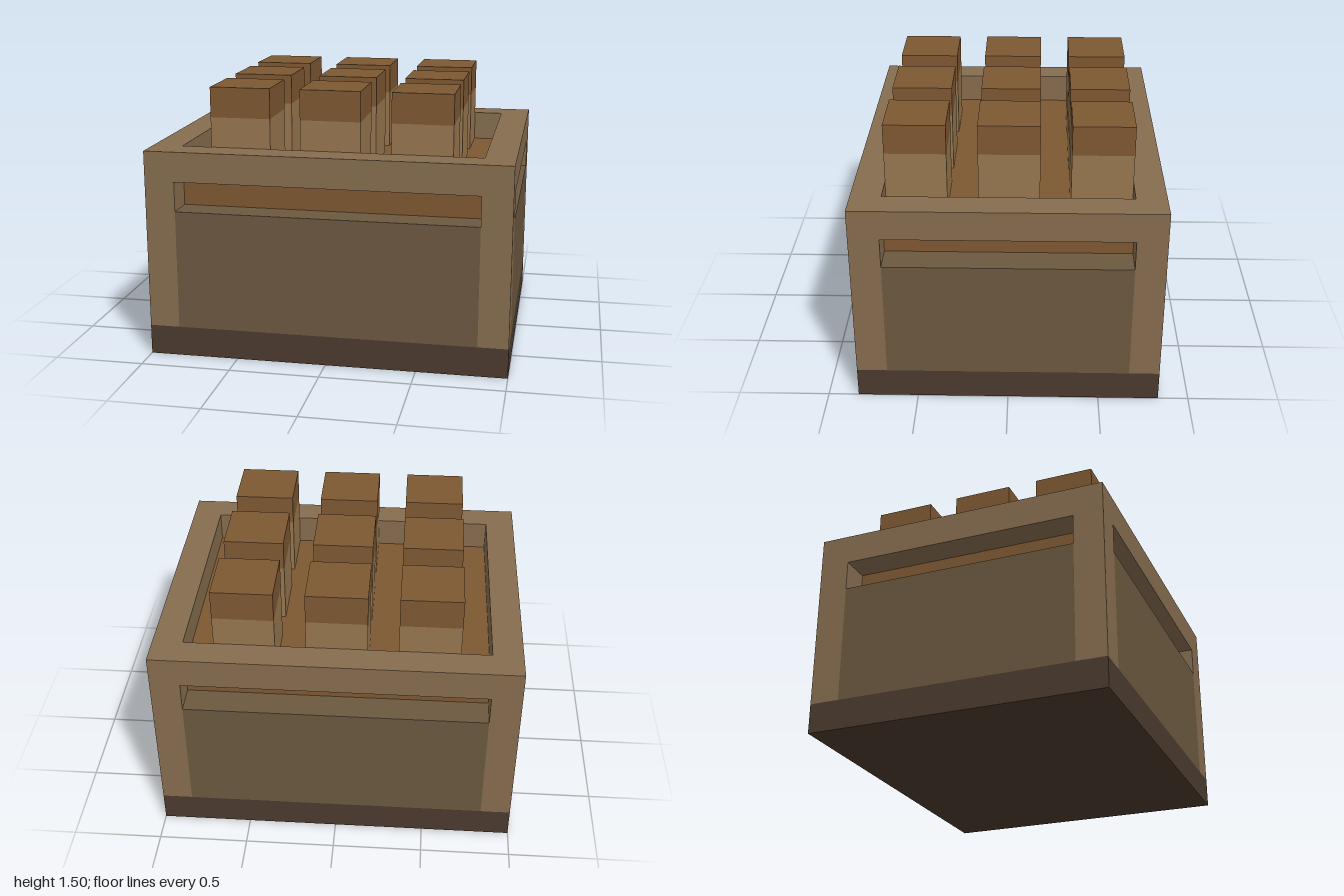
import * as THREE from 'three';

const U = 1 / 6; // block grid step

const paint = (color) => new THREE.MeshStandardMaterial({ color, flatShading: true });

// Box given by its centre x, z, its bottom y and its size, all in grid steps
function block(name, material, [w, h, d], [x, y, z]) {
  const mesh = new THREE.Mesh(new THREE.BoxGeometry(w * U, h * U, d * U), material);
  mesh.position.set(x * U, (y + h / 2) * U, z * U);
  mesh.name = name;
  return mesh;
}

function rectangle(Path, w, d) {
  const x = (w * U) / 2, y = (d * U) / 2;
  return new Path([[-x, -y], [x, -y], [x, y], [-x, y]].map(([a, b]) => new THREE.Vector2(a, b)));
}

export function createModel() {
  const model = new THREE.Group();
  model.name = 'crate';
  const frame = paint(0x866d4f);
  const panel = paint(0x6b5840);
  const dark = paint(0x4b3a2e);
  const brown = paint(0x7e5832);
  const light = paint(0x97774f);

  // Base slab
  model.add(block('base', dark, [12, 1, 10], [0, 0, 0]));

  // Corner posts and side panels, leaving a slot under the rim
  for (const s of [-1, 1]) {
    for (const t of [-1, 1]) model.add(block('cornerPost', frame, [1, 5, 1], [5.5 * s, 1, 4.5 * t]));
    model.add(block(s > 0 ? 'frontPanel' : 'backPanel', panel, [10, 4, 1], [0, 1, 4.5 * s]));
    model.add(block(s > 0 ? 'leftPanel' : 'rightPanel', panel, [1, 4, 8], [5.5 * s, 1, 0]));
  }

  // Open rim around the top
  const outline = rectangle(THREE.Shape, 12, 10);
  outline.holes.push(rectangle(THREE.Path, 10, 8));
  const rim = new THREE.Mesh(new THREE.ExtrudeGeometry(outline, { depth: U, bevelEnabled: false }), frame);
  rim.rotation.x = -Math.PI / 2;
  rim.position.y = 6 * U;
  rim.name = 'rim';
  model.add(rim);

  // Inner filling, seen through the slots and from above
  model.add(block('filling', brown, [10, 5, 8], [0, 1, 0]));

  // Three by three pegs with brown caps
  for (const x of [-3, 0, 3]) {
    for (const z of [-3, 0, 3]) {
      const peg = new THREE.Group();
      peg.name = 'peg';
      peg.add(block('pegShaft', light, [2, 2, 2], [x, 6, z]));
      peg.add(block('pegCap', brown, [2, 1, 2], [x, 8, z]));
      model.add(peg);
    }
  }
  return model;
}
